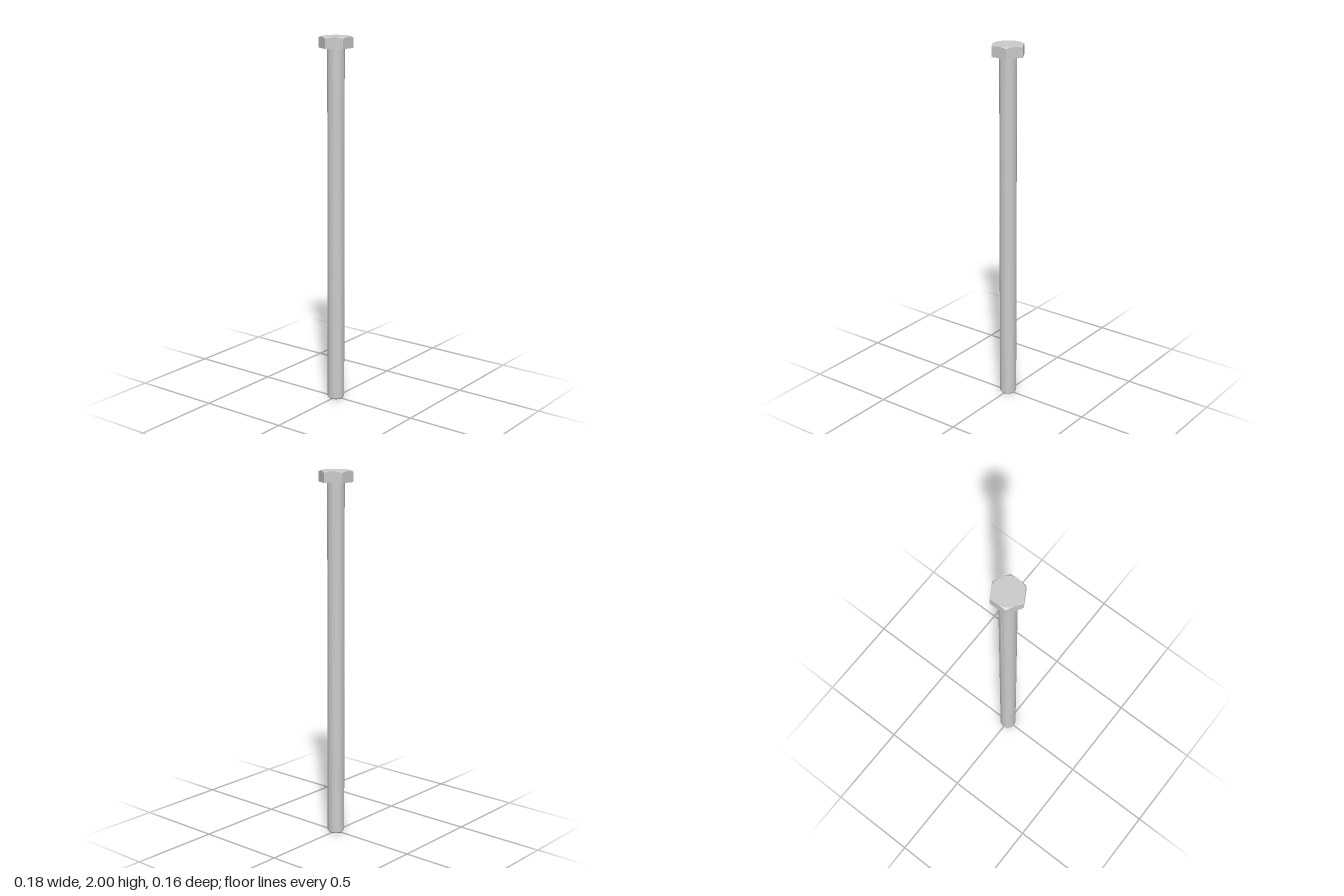
import * as THREE from 'three';
import { toCreasedNormals } from 'three/addons/utils/BufferGeometryUtils.js';

const SEGMENTS = 72;         // divisible by 12, so hexagon corners fall on vertices
const HEAD_Y = 1.94;         // underside of the head
const TOP_Y = 2;
const SHAFT_R = 0.046;
const APOTHEM = 0.08;        // half the width across flats
const CHAMFER_R = 0.0795;    // flat disc on top of the head
const CHAMFER_SLOPE = Math.tan(Math.PI / 6);

const material = new THREE.MeshStandardMaterial({ color: 0xcccccc });

function lathe(points) {
  return new THREE.LatheGeometry(points.map(([r, y]) => new THREE.Vector2(r, y)), SEGMENTS);
}

function addPart(group, name, geometry) {
  const mesh = new THREE.Mesh(toCreasedNormals(geometry, 0.4), material);
  mesh.name = name;
  group.add(mesh);
}

// Distance from the axis to the hexagon's edge, corners on the x axis
function hexRadius(angle) {
  const sector = Math.PI / 3;
  const a = ((angle % sector) + sector) % sector;
  return APOTHEM / Math.cos(a - sector / 2);
}

// Hexagonal head: a lathe whose two outer rings are pushed out to a hexagon,
// the upper one following the conical chamfer so each flat gets an arched top
function headGeometry() {
  const geometry = lathe([
    [SHAFT_R, HEAD_Y], [APOTHEM, HEAD_Y], [APOTHEM, TOP_Y], [CHAMFER_R, TOP_Y], [0, TOP_Y],
  ]);
  const pos = geometry.attributes.position;
  for (let i = 0; i < pos.count; i++) {
    const ring = i % 5;
    if (ring !== 1 && ring !== 2) continue;
    const angle = Math.atan2(pos.getZ(i), pos.getX(i));
    const r = hexRadius(angle);
    const y = ring === 1 ? HEAD_Y : TOP_Y - (r - CHAMFER_R) * CHAMFER_SLOPE;
    pos.setXYZ(i, r * Math.cos(angle), y, r * Math.sin(angle));
  }
  return geometry;
}

export function createModel() {
  const bolt = new THREE.Group();
  bolt.name = 'hexBolt';

  // Plain shaft with a chamfered tip
  addPart(bolt, 'shaft', lathe([[0, 0], [SHAFT_R - 0.007, 0], [SHAFT_R, 0.008], [SHAFT_R, HEAD_Y]]));
  addPart(bolt, 'head', headGeometry());

  return bolt;
}
